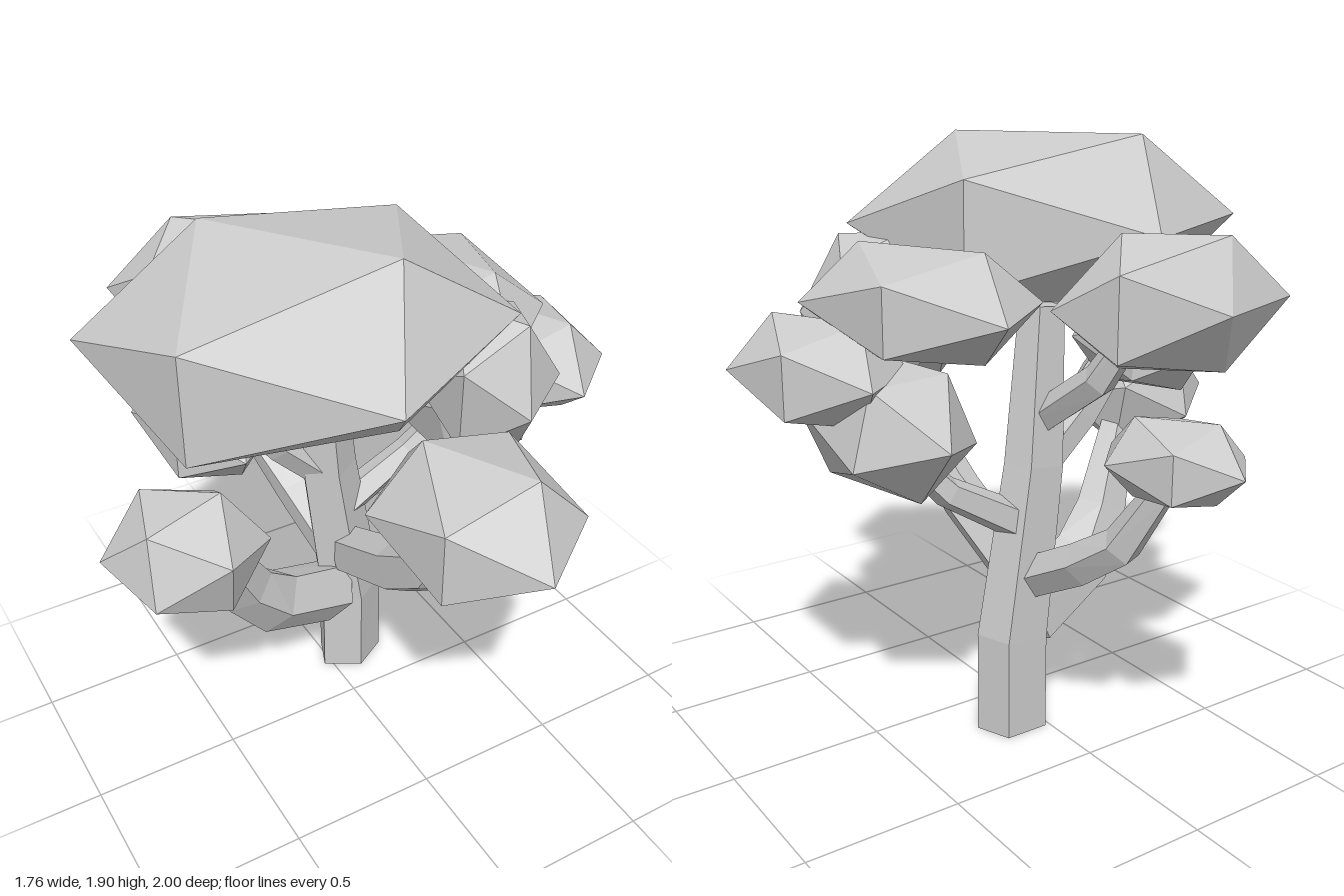
import * as THREE from 'three';

const material = new THREE.MeshStandardMaterial({ color: 0xcccccc, flatShading: true });

// Faceted leaf clump: an icosahedron with its poles along z, stretched then tilted
function clump(name, center, size, tilt = [0, 0, 0]) {
  const geometry = new THREE.IcosahedronGeometry(1, 0);
  geometry.rotateY(-1.0172);
  geometry.scale(...size);
  geometry.computeVertexNormals();
  const mesh = new THREE.Mesh(geometry, material);
  mesh.name = name;
  mesh.position.set(...center);
  mesh.rotation.set(...tilt);
  return mesh;
}

// Tapered limb: five-sided rings along a path of [x, y, z, radius], capped at both ends
function limb(name, path, squash = 1) {
  const sides = 5;
  const points = path.map(([x, y, z]) => new THREE.Vector3(x, y, z));
  const positions = [];
  const index = [];
  const last = points.length - 1;
  const runsAlongZ = Math.abs(points[last].z - points[0].z) > 0.3;
  points.forEach((p, i) => {
    const tangent = points[Math.min(i + 1, last)].clone().sub(points[Math.max(i - 1, 0)]).normalize();
    const u = runsAlongZ ? new THREE.Vector3(1, 0, 0) : new THREE.Vector3(0, 0, 1);
    u.addScaledVector(tangent, -u.dot(tangent)).normalize();
    const v = tangent.clone().cross(u);
    for (let s = 0; s < sides; s++) {
      const a = (s / sides) * Math.PI * 2;
      const q = p.clone()
        .addScaledVector(u, Math.cos(a) * path[i][3] * squash)
        .addScaledVector(v, Math.sin(a) * path[i][3]);
      positions.push(q.x, q.y, q.z);
    }
  });
  for (let i = 0; i < last; i++) {
    for (let s = 0; s < sides; s++) {
      const a = i * sides + s;
      const b = i * sides + ((s + 1) % sides);
      index.push(a, b, b + sides, a, b + sides, a + sides);
    }
  }
  for (let s = 1; s < sides - 1; s++) {
    const top = last * sides;
    index.push(0, s + 1, s, top, top + s, top + s + 1);
  }
  const geometry = new THREE.BufferGeometry();
  geometry.setAttribute('position', new THREE.Float32BufferAttribute(positions, 3));
  geometry.setIndex(index);
  geometry.computeVertexNormals();
  const mesh = new THREE.Mesh(geometry, material);
  mesh.name = name;
  return mesh;
}

export function createModel() {
  const tree = new THREE.Group();
  tree.name = 'tree';

  // Trunk, leaning gently to one side above the base
  tree.add(limb('trunk', [
    [0.09, 0, -0.2, 0.126], [0.09, 0.33, -0.2, 0.126],
    [0.01, 0.9, -0.2, 0.105], [-0.03, 1.4, -0.18, 0.08],
  ], 0.8));

  // Branches
  const branches = new THREE.Group();
  branches.name = 'branches';
  branches.add(
    limb('rightBranch', [
      [0.02, 0.36, -0.17, 0.13], [-0.25, 0.47, -0.11, 0.125],
      [-0.38, 0.62, -0.06, 0.1], [-0.53, 0.92, 0.03, 0.065],
    ], 0.75),
    limb('frontBranch', [
      [0.06, 0.54, -0.15, 0.095], [0.06, 0.7, 0.18, 0.1],
      [0.055, 0.83, 0.36, 0.09], [0.05, 1.1, 0.53, 0.065],
    ], 0.75),
    limb('backBranch', [
      [0.04, 0.52, -0.22, 0.07], [0.01, 0.64, -0.45, 0.07],
      [-0.02, 0.74, -0.6, 0.065], [-0.07, 0.96, -0.73, 0.045],
    ]),
    limb('leftBranch', [
      [0.05, 0.7, -0.2, 0.065], [0.33, 0.86, -0.19, 0.05], [0.46, 1.0, -0.16, 0.04],
    ]),
    limb('upperBackBranch', [
      [-0.01, 1.04, -0.2, 0.055], [-0.05, 1.21, -0.44, 0.055], [-0.1, 1.42, -0.57, 0.04],
    ]),
    limb('upperRightBranch', [
      [0.0, 0.88, -0.2, 0.06], [-0.16, 1.04, -0.21, 0.06], [-0.31, 1.22, -0.22, 0.045],
    ]),
  );
  tree.add(branches);

  // Leaf clumps
  const foliage = new THREE.Group();
  foliage.name = 'foliage';
  foliage.add(
    clump('crown', [-0.215, 1.627, 0.06], [0.666, 0.323, 0.573]),
    clump('frontClump', [0.03, 1.23, 0.635], [0.302, 0.223, 0.36]),
    clump('upperBackClump', [-0.15, 1.465, -0.645], [0.4, 0.23, 0.235]),
    clump('lowerBackClump', [-0.075, 1.04, -0.76], [0.2, 0.141, 0.243], [0, 0.15, 0]),
    clump('upperLeftClump', [0.395, 1.45, -0.16], [0.33, 0.19, 0.45]),
    clump('outerLeftClump', [0.66, 1.255, -0.01], [0.25, 0.182, 0.335]),
    clump('lowerLeftClump', [0.5, 1.09, -0.13], [0.245, 0.23, 0.36], [0, 0, 0.25]),
    clump('innerLeftClump', [0.36, 1.36, 0.2], [0.225, 0.29, 0.24], [0.15, 0, 0.1]),
    clump('rightClump', [-0.632, 0.985, 0.08], [0.22, 0.235, 0.26], [0, 1.27, Math.PI / 2]),
    clump('upperRightClump', [-0.43, 1.25, -0.19], [0.21, 0.19, 0.3]),
  );
  tree.add(foliage);
  return tree;
}
